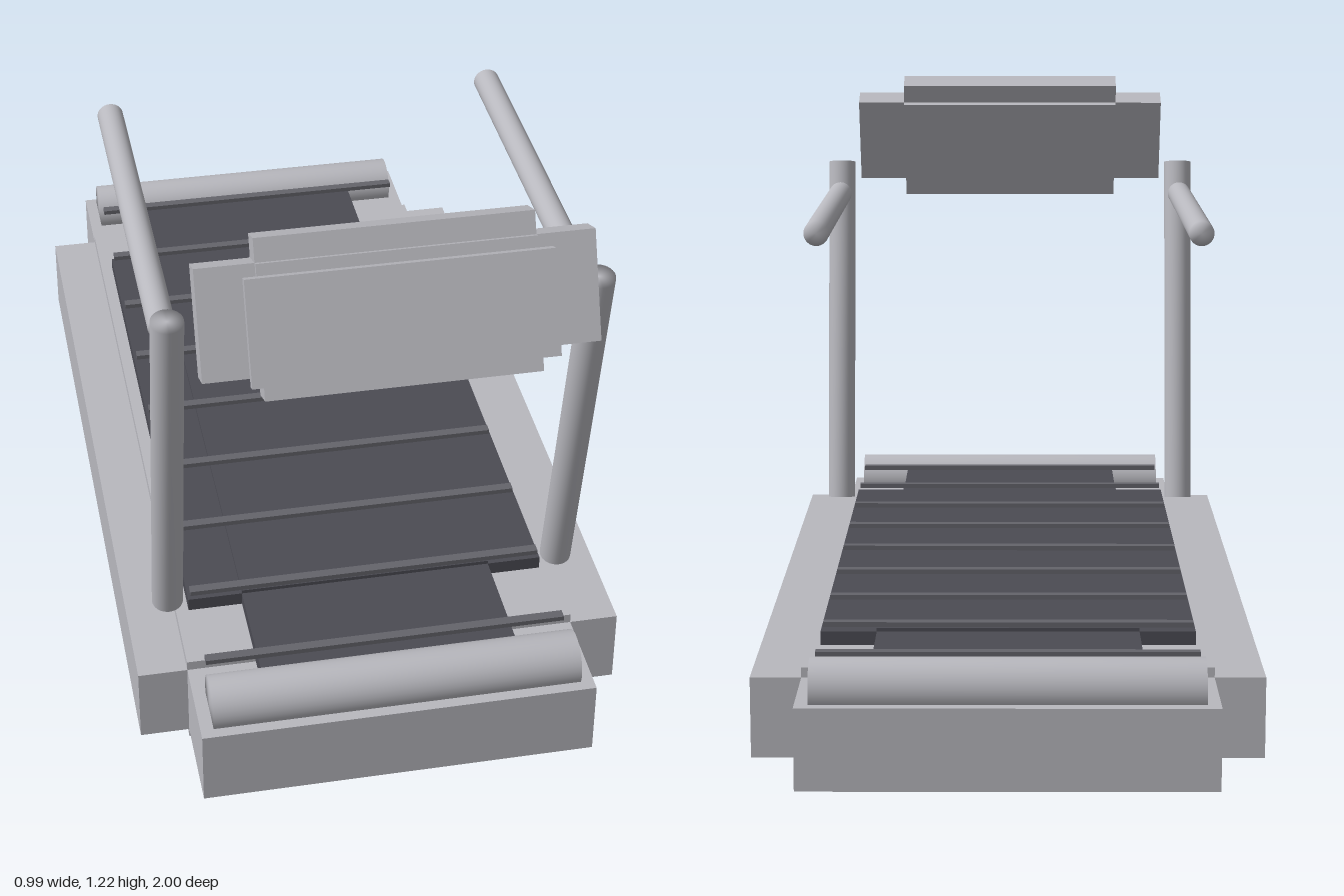
import * as THREE from 'three';
import { mergeVertices } from 'three/addons/utils/BufferGeometryUtils.js';

const mat = (name, color) => {
  const m = new THREE.MeshStandardMaterial({ color });
  m.name = name;
  return m;
};

export function createModel() {
  const model = new THREE.Group();
  model.name = 'treadmill';
  const grey = mat('light grey metal', 0xb8b8be);
  const dark = mat('dark rubber', 0x4b4b53);
  const slatGrey = mat('slat grey', 0x64646b);

  const add = (parent, name, geometry, material, x, y, z) => {
    const mesh = new THREE.Mesh(geometry, material);
    mesh.name = name;
    mesh.position.set(x, y, z);
    parent.add(mesh);
    return mesh;
  };

  // Stepped block: three crossing boxes, each full length along one axis
  const steppedBlock = (name, size, keep, material, x, y, z) => {
    const group = new THREE.Group();
    group.name = name;
    group.position.set(x, y, z);
    ['Width', 'Height', 'Depth'].forEach((label, axis) => {
      const s = size.map((v, i) => (i === axis ? v : v * keep));
      add(group, name + label, new THREE.BoxGeometry(...s), material, 0, 0, 0);
    });
    model.add(group);
    return group;
  };

  // Cylinder with softly shaded ends
  const tube = (radius, length) => {
    const g = new THREE.CylinderGeometry(radius, radius, length, 32);
    g.deleteAttribute('normal');
    g.deleteAttribute('uv');
    const merged = mergeVertices(g);
    merged.computeVertexNormals();
    return merged;
  };

  // Deck and running belt
  steppedBlock('base', [0.99, 0.2, 2], 0.8, grey, 0, 0.1, 0);
  steppedBlock('belt', [0.74, 0.05, 1.84], 0.7, dark, 0, 0.21, 0);

  // Cross slats on the belt
  for (let i = -4; i <= 4; i++) {
    add(model, 'slat', new THREE.BoxGeometry(0.73, 0.01, 0.02), slatGrey, 0, 0.241, i * 0.211);
  }

  // Rollers at both ends
  for (const side of [1, -1]) {
    const roller = add(model, side > 0 ? 'frontRoller' : 'backRoller', tube(0.056, 0.74), grey, 0, 0.2, side * 0.925);
    roller.rotation.z = Math.PI / 2;
  }

  // Leaning uprights and level handrails
  for (const side of [1, -1]) {
    const label = side > 0 ? 'left' : 'right';
    const upright = add(model, label + 'Upright', tube(0.032, 0.82), grey, side * 0.41, 0.617, 0.702);
    upright.rotation.x = 0.2;
    const rail = add(model, label + 'Handrail', tube(0.027, 0.8), grey, side * 0.41, 0.95, 0.3);
    rail.rotation.x = Math.PI / 2;
  }

  // Tilted console and its screen
  const tilt = -0.4;
  const panel = steppedBlock('console', [0.74, 0.3, 0.08], 0.7, grey, 0, 1.075, 0.88);
  panel.rotation.x = tilt;
  const screen = add(model, 'screen', new THREE.BoxGeometry(0.57, 0.2, 0.02), grey, 0, 1.08, 0.935);
  screen.rotation.x = tilt;

  return model;
}
